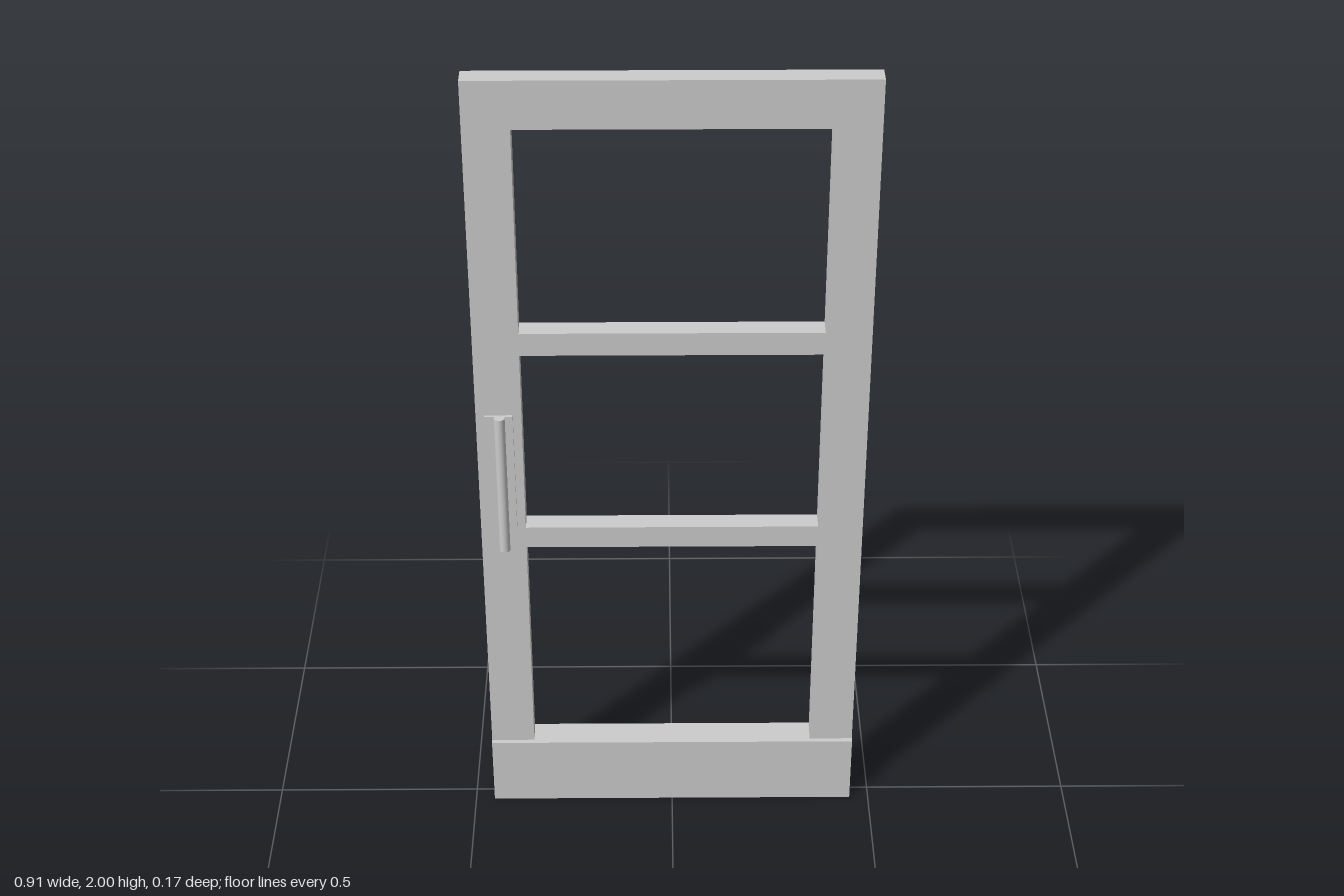
import * as THREE from 'three';

const material = new THREE.MeshStandardMaterial({ color: 0xcccccc });

function add(parent, name, geometry, x, y, z) {
  const mesh = new THREE.Mesh(geometry, material);
  mesh.name = name;
  mesh.position.set(x, y, z);
  parent.add(mesh);
  return mesh;
}

const rect = (x, y0, y1) => [[-x, y0], [x, y0], [x, y1], [-x, y1]].map(p => new THREE.Vector2(...p));

export function createModel() {
  const door = new THREE.Group();
  door.name = 'door';
  const halfWidth = 0.453, openHalf = 0.347, kickTop = 0.185, thickness = 0.05;

  // Frame: stiles, top rail and two middle rails, standing on the bottom rail
  const outline = [
    [-halfWidth, kickTop], [-openHalf, kickTop], [-openHalf, 0.783], [openHalf, 0.783],
    [openHalf, kickTop], [halfWidth, kickTop], [halfWidth, 2], [-halfWidth, 2],
  ].map(p => new THREE.Vector2(...p));
  const shape = new THREE.Shape(outline);
  for (const [y0, y1] of [[0.84, 1.318], [1.376, 1.885]]) {
    shape.holes.push(new THREE.Path(rect(openHalf, y0, y1)));
  }
  add(door, 'frame', new THREE.ExtrudeGeometry(shape, { depth: thickness, bevelEnabled: false }),
    0, 0, -thickness / 2);

  // Thicker bottom rail
  add(door, 'bottomRail', new THREE.BoxGeometry(halfWidth * 2, kickTop, 0.074), 0, kickTop / 2, 0);

  // Pull handle on each face
  for (const side of [1, -1]) {
    const handle = new THREE.Group();
    handle.name = side > 0 ? 'frontHandle' : 'backHandle';
    handle.position.set(-0.395, 0, 0);
    door.add(handle);
    add(handle, 'backplate', new THREE.BoxGeometry(0.066, 0.31, 0.01), -0.005, 1.003, side * 0.028);
    add(handle, 'gripBar', new THREE.CylinderGeometry(0.0125, 0.0125, 0.37, 32), 0, 0.996, side * 0.073);
    for (const y of [0.9, 1.091]) {
      add(handle, 'post', new THREE.BoxGeometry(0.01, 0.03, 0.043), 0, y, side * 0.0515);
    }
  }
  return door;
}
